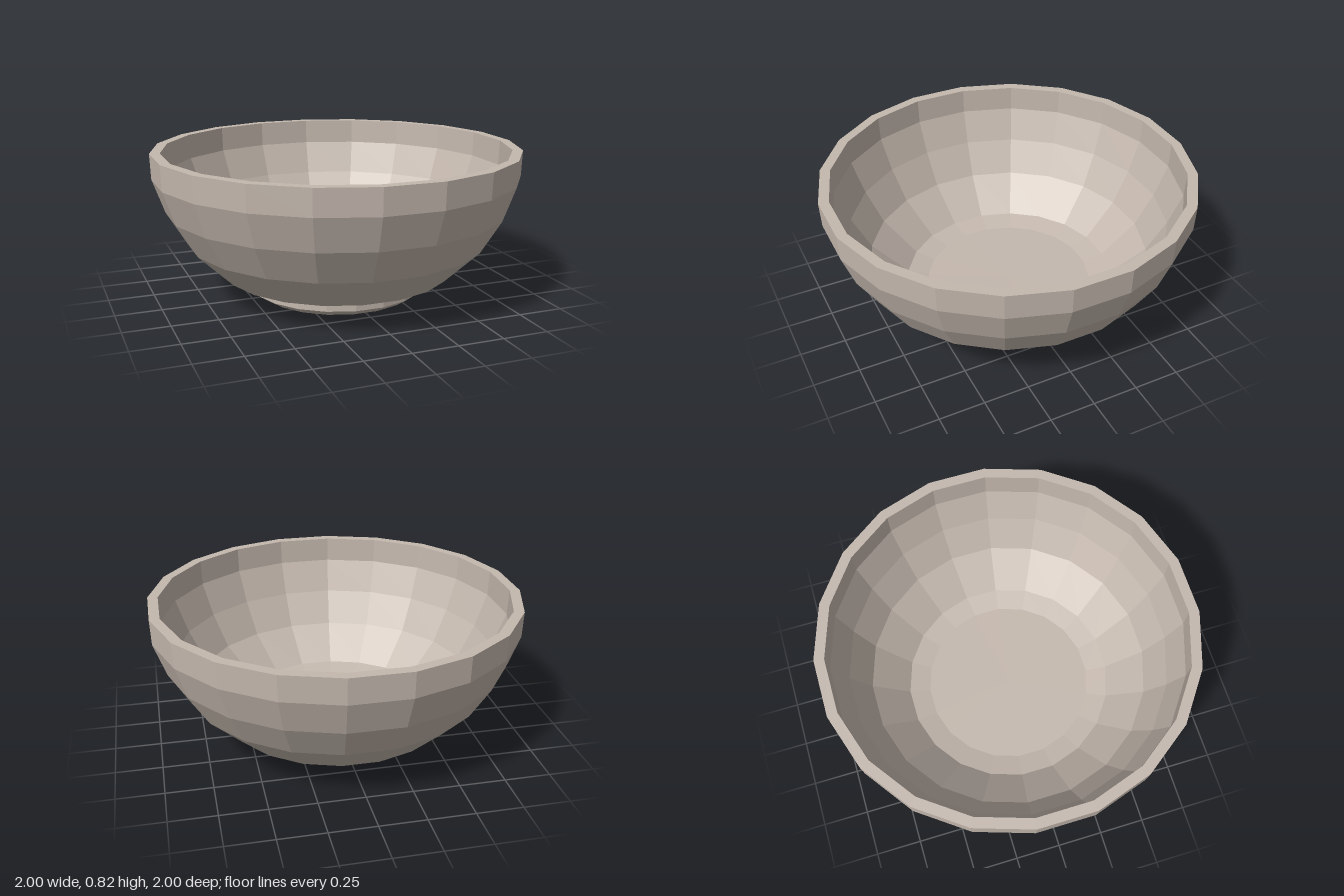
import * as THREE from 'three';

const SIDES = 20;

export function createModel() {
  const bowl = new THREE.Group();
  bowl.name = 'bowl';
  const clay = new THREE.MeshStandardMaterial({ color: 0xc4b8ae, flatShading: true });
  clay.name = 'warm grey clay';

  // Radii are measured to the flats; widen them to reach the corners
  const toCorner = 1 / Math.cos(Math.PI / SIDES);

  // Turned part with a flat side facing each axis
  function turn(name, profile) {
    const points = profile.map(([r, y]) => new THREE.Vector2(r * toCorner, y));
    const geometry = new THREE.LatheGeometry(points, SIDES, Math.PI / SIDES);
    const mesh = new THREE.Mesh(geometry, clay);
    mesh.name = name;
    bowl.add(mesh);
  }

  // Foot with a chamfered lower edge and closed underside
  turn('foot', [[0, 0], [0.43, 0], [0.49, 0.04], [0.49, 0.1]]);

  // Outside of the bowl, from the foot up to the lip
  turn('outerWall', [[0.49, 0.1], [0.63, 0.125], [0.82, 0.31], [0.93, 0.495], [0.995, 0.68], [1, 0.82]]);

  // Flat top of the lip
  turn('rim', [[1, 0.82], [0.945, 0.82]]);

  // Inside, from the lip down to the floor
  turn('innerWall', [[0.945, 0.82], [0.94, 0.68], [0.87, 0.495], [0.77, 0.31], [0.575, 0.13], [0.46, 0.105]]);
  turn('floor', [[0.46, 0.105], [0, 0.1]]);

  return bowl;
}
